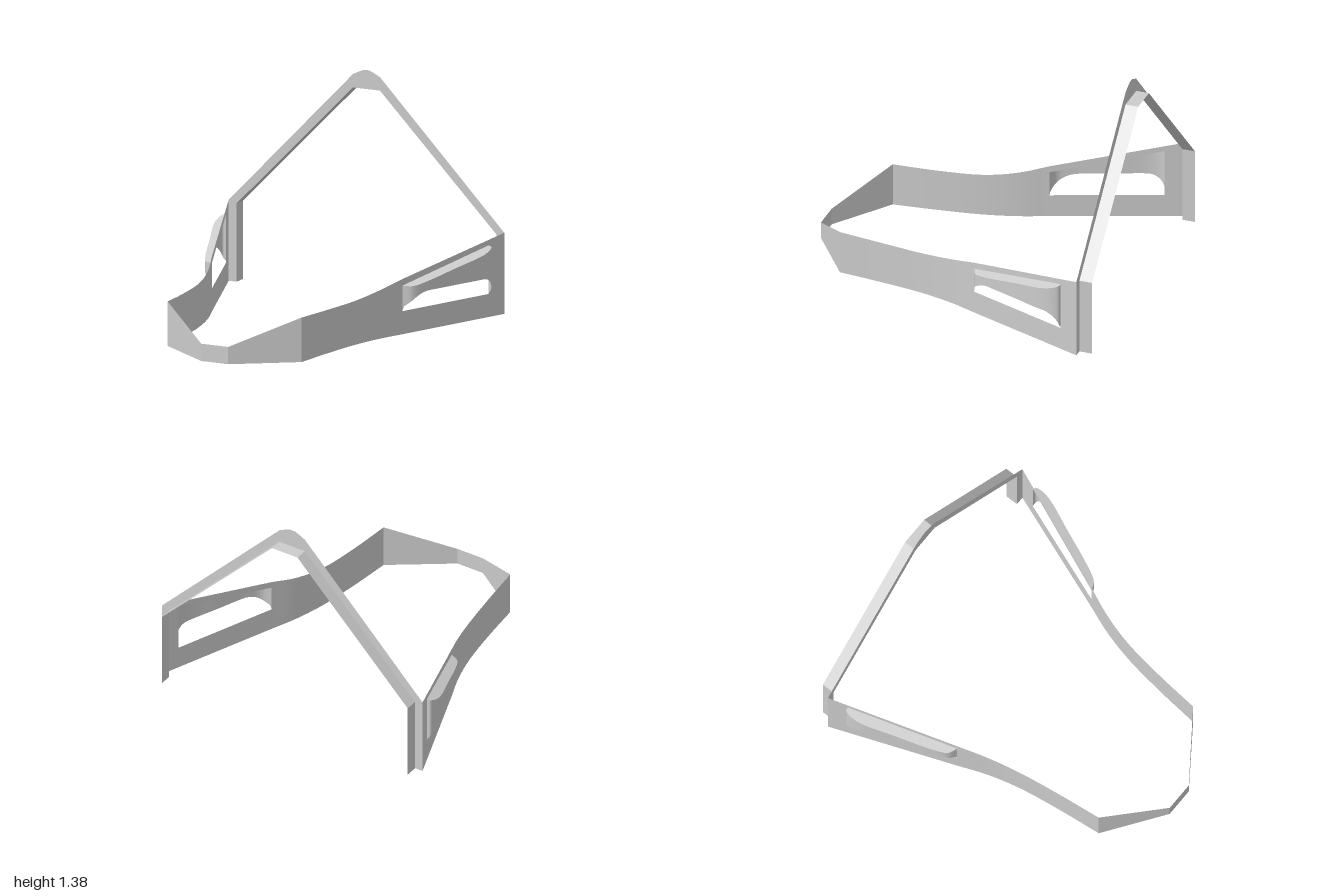
import * as THREE from 'three';

const smooth = new THREE.MeshStandardMaterial({ color: 0xcccccc, side: THREE.DoubleSide });
const flat = new THREE.MeshStandardMaterial({ color: 0xcccccc, side: THREE.DoubleSide, flatShading: true });

// Thin sheet spanning two matching rows of [x, y, z] points
function ribbon(name, rowA, rowB, material = smooth) {
  const index = [];
  for (let i = 0; i < rowA.length - 1; i++) {
    const a = i * 2;
    index.push(a, a + 2, a + 1, a + 1, a + 2, a + 3);
  }
  const geometry = new THREE.BufferGeometry();
  geometry.setAttribute('position', new THREE.Float32BufferAttribute(rowA.flatMap((p, i) => [...p, ...rowB[i]]), 3));
  geometry.setIndex(index);
  geometry.computeVertexNormals();
  const mesh = new THREE.Mesh(geometry, material);
  mesh.name = name;
  return mesh;
}

const spline = (points) => new THREE.CatmullRomCurve3(points.map((p) => new THREE.Vector3(...p)), false, 'centripetal');

const Z0 = -0.17, Z1 = -0.805, Z2 = -0.92;        // opening start, opening end, wall end
const SILL = 0.14, ARCH = 0.253;
const wallX = (z) => 0.636 + (Z0 - z) * 0.379;    // straight rear part of the side wall
const wallTop = (z) => 0.335 + (Z0 - z) * 0.209;
const hoodTop = (z) => 0.295 + (Z0 - z) * 0.22;

// Lower edge of the hood: flat with rounded ends
function archY(z) {
  const d = Math.min((Z0 - z) / 0.14, (z - Z1) / 0.115);
  const t = 1 - THREE.MathUtils.clamp(d, 0, 1);
  return SILL + (ARCH - SILL) * Math.sqrt(1 - t * t);
}

function createSide(s) {
  const side = new THREE.Group();
  side.name = s > 0 ? 'leftSide' : 'rightSide';

  // Angled nose panel
  side.add(ribbon('nosePanel',
    [[s * 0.09, 0, 1], [s * 0.447, 0, 0.748]],
    [[s * 0.09, 0.105, 1], [s * 0.447, 0.27, 0.748]]));

  // Curved front wall, y carrying the height of its top edge
  const top = spline([
    [0.447, 0.27, 0.748], [0.477, 0.264, 0.47], [0.518, 0.267, 0.2],
    [0.571, 0.293, 0], [0.636, 0.335, Z0],
  ]).getPoints(28).map((p) => [s * p.x, p.y, p.z]);
  side.add(ribbon('curvedWall', top.map(([x, , z]) => [x, 0, z]), top));

  // Straight rear wall around the opening
  const row = (zs, y) => zs.map((z) => [s * wallX(z), y(z), z]);
  const span = [Z0, Z1], end = [Z1, Z2];
  side.add(ribbon('wallBelowOpening', row(span, () => 0), row(span, () => SILL)));
  side.add(ribbon('wallAboveOpening', row(span, hoodTop), row(span, wallTop)));
  side.add(ribbon('rearWall', row(end, () => 0), row(end, wallTop)));

  // Bulging hood over the opening
  const outline = spline([
    [wallX(Z0), 0, Z0], [0.69, 0, -0.196], [0.735, 0, -0.275], [0.82, 0, -0.49],
    [0.9, 0, -0.7], [0.906, 0, -0.77], [0.896, 0, -0.8], [wallX(Z1), 0, Z1],
  ]).getPoints(70);
  const rim = outline.map((p) => [s * p.x, hoodTop(p.z) - 0.2 * Math.max(0, p.x - wallX(p.z)), p.z]);
  side.add(ribbon('hoodSide', outline.map((p) => [s * p.x, archY(p.z), p.z]), rim));
  side.add(ribbon('hoodTop', rim, outline.map((p) => [s * wallX(p.z), hoodTop(p.z), p.z])));
  return side;
}

export function createModel() {
  const model = new THREE.Group();
  model.name = 'frame';

  model.add(ribbon('frontPanel',
    [[-0.09, 0, 1], [0.09, 0, 1]],
    [[-0.09, 0.105, 1], [0.09, 0.105, 1]]));
  for (const s of [1, -1]) model.add(createSide(s));

  // Rear gable face
  const mirror = (half) => [...half, ...half.map(([x, y]) => [-x, y]).reverse()];
  const outer = mirror([[0.92, 0], [0.92, 0.492], [0.09, 1.345], [0.045, 1.367], [0.018, 1.378]]);
  const inner = mirror([[0.868, 0], [0.868, 0.475], [0.09, 1.263]]);
  const shape = new THREE.Shape([...outer, ...[...inner].reverse()].map(([x, y]) => new THREE.Vector2(x, y)));
  const face = new THREE.Mesh(new THREE.ShapeGeometry(shape), smooth);
  face.name = 'gableFace';
  face.position.z = Z2;
  model.add(face);

  // Flange running back from the inner edge of the gable
  model.add(ribbon('gableFlange',
    inner.map(([x, y]) => [x, y, Z2]), inner.map(([x, y]) => [x, y, -1]), flat));
  return model;
}
